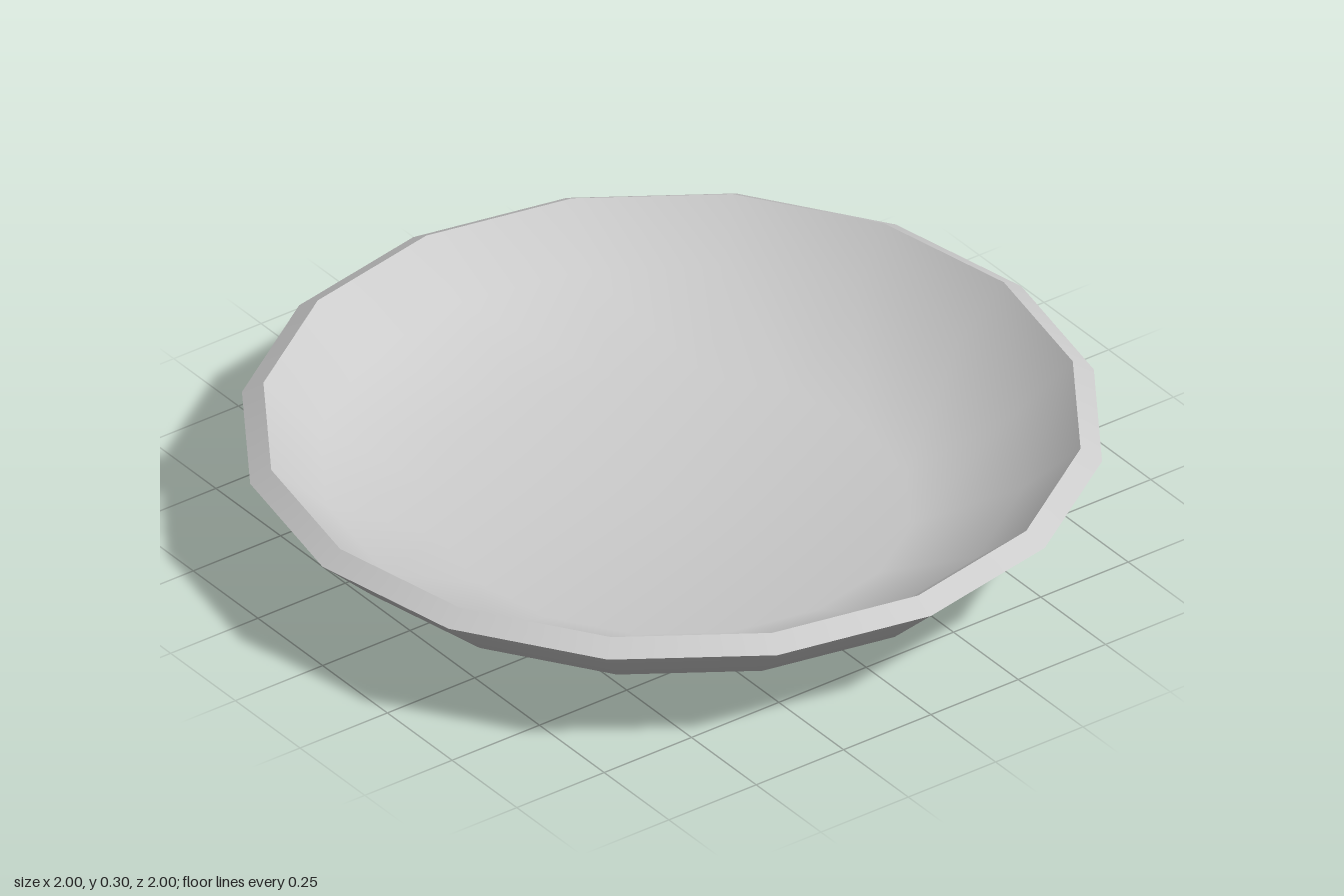
import * as THREE from 'three';

const SIDES = 16;

// One smooth band of the bowl, turned from a profile of [radius, height] points
function band(name, profile, material) {
  const points = profile.map(([r, y]) => new THREE.Vector2(r, y));
  const mesh = new THREE.Mesh(new THREE.LatheGeometry(points, SIDES), material);
  mesh.name = name;
  return mesh;
}

export function createModel() {
  const group = new THREE.Group();
  group.name = 'shallowBowl';
  const material = new THREE.MeshStandardMaterial({ color: 0xcccccc });

  // Separate bands keep both rim edges sharp while each wall stays smooth
  group.add(
    band('outerShell', [[0, 0], [0.57, 0], [0.86, 0.14], [1, 0.27]], material),
    band('rim', [[1, 0.27], [0.95, 0.3]], material),
    band('innerShell', [[0.95, 0.3], [0.82, 0.185], [0.555, 0.055], [0, 0.055]], material),
  );
  return group;
}
